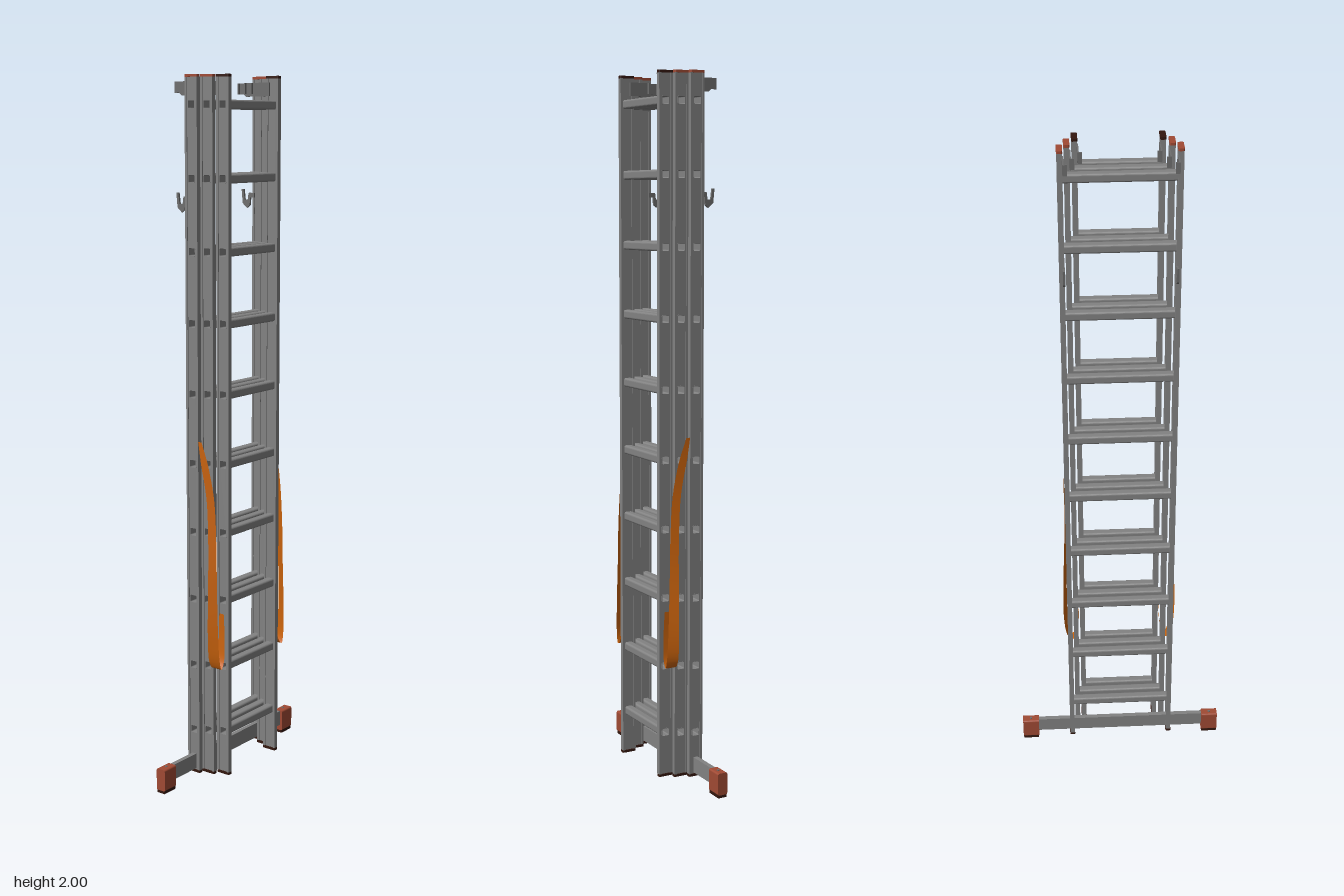
import * as THREE from 'three';

const mat = (name, color, side = THREE.FrontSide) => {
  const m = new THREE.MeshStandardMaterial({ color, side });
  m.name = name;
  return m;
};

// Rounded rectangle outline, usable as a shape or a hole
function roundRect(Type, w, h, r, cx = 0, cy = 0) {
  const p = new Type(), x = w / 2 - r, y = h / 2 - r;
  p.absarc(cx + x, cy + y, r, 0, Math.PI / 2);
  p.absarc(cx - x, cy + y, r, Math.PI / 2, Math.PI);
  p.absarc(cx - x, cy - y, r, Math.PI, Math.PI * 1.5);
  p.absarc(cx + x, cy - y, r, Math.PI * 1.5, Math.PI * 2);
  p.closePath();
  return p;
}

// Extrude a side-on shape (shape x = towards the back, shape y = up) across x, centred
function extrudeX(shape, width) {
  const g = new THREE.ExtrudeGeometry(shape, { depth: width, bevelEnabled: false, curveSegments: 4 });
  g.translate(0, 0, -width / 2);
  g.rotateY(Math.PI / 2);
  return g;
}

const polygon = (pts) => new THREE.Shape(pts.map(([x, y]) => new THREE.Vector2(x, y)));

export function createModel() {
  const model = new THREE.Group();
  model.name = 'tripleLadder';

  const metal = mat('aluminium', 0x828282);
  const steel = mat('hookSteel', 0x6e6e6e);
  const red = mat('redPlastic', 0xa04a34);
  const dark = mat('darkPlastic', 0x33170f);
  const orange = mat('orangeStrap', 0xc8620c, THREE.DoubleSide);

  const add = (parent, name, geo, material, x = 0, y = 0, z = 0) => {
    const m = new THREE.Mesh(geo, material);
    m.name = name;
    m.position.set(x, y, z);
    parent.add(m);
    return m;
  };
  const box = (w, h, d) => new THREE.BoxGeometry(w, h, d);

  const RUNGS = Array.from({ length: 10 }, (_, i) => 0.145 + i * 0.1973);
  const BOTTOM = 0.022, TOP = 1.993, DEPTH = 0.042, WIDTH = 0.014;
  const railH = TOP - BOTTOM, railY = (TOP + BOTTOM) / 2;

  // Rail web pierced by the open rung ends
  const webShape = polygon([[-DEPTH / 2, BOTTOM], [DEPTH / 2, BOTTOM], [DEPTH / 2, TOP], [-DEPTH / 2, TOP]]);
  RUNGS.forEach((y) => webShape.holes.push(roundRect(THREE.Path, 0.022, 0.022, 0.003, 0, y)));
  const webGeo = extrudeX(webShape, 0.009);
  const flangeGeo = box(WIDTH, railH, 0.007);

  // Rounded end cap for a rail
  const capGeo = new THREE.ExtrudeGeometry(roundRect(THREE.Shape, 0.016, 0.044, 0.004),
    { depth: 0.007, bevelEnabled: false, curveSegments: 4 });
  capGeo.rotateX(-Math.PI / 2);

  // Hollow rung
  const rungShape = roundRect(THREE.Shape, 0.025, 0.025, 0.006);
  rungShape.holes.push(roundRect(THREE.Path, 0.021, 0.021, 0.003));

  // Upper guide hook: flat plate with a bent tip
  const guideGeo = extrudeX(polygon([[-0.012, 1.945], [0.022, 1.945], [0.03, 1.952],
    [0.045, 1.952], [0.045, 1.982], [-0.012, 1.982]]), 0.004);

  const sections = [
    { name: 'backSection', x: 0.153, z: -0.016, cap: red },
    { name: 'middleSection', x: 0.134, z: 0.022, cap: red },
    { name: 'frontSection', x: 0.113, z: 0.06, cap: dark },
  ];
  for (const { name, x, z, cap } of sections) {
    const g = new THREE.Group();
    g.name = name;
    g.position.z = z;
    model.add(g);
    for (const s of [-1, 1]) {
      add(g, 'railWeb', webGeo, metal, s * x);
      for (const f of [-1, 1]) add(g, 'railFlange', flangeGeo, metal, s * x, railY, f * (DEPTH / 2 - 0.0035));
      add(g, 'topCap', capGeo, cap, s * x, TOP, 0);
      add(g, 'bottomCap', capGeo, dark, s * x, BOTTOM - 0.007, 0);
      add(g, 'guideHook', guideGeo, steel, s * (x - 0.008), 0, -0.02);
      add(g, 'guideHookTip', box(0.011, 0.03, 0.003), steel, s * (x - 0.0125), 1.967, -0.065);
    }
    const rungGeo = extrudeX(rungShape, 2 * x + 0.01);
    RUNGS.forEach((y) => add(g, 'rung', rungGeo, metal, 0, y, 0));
  }

  // Locking hooks below the top of the back section
  const lockGeo = extrudeX(polygon([[0.03, 1.675], [0.05, 1.675], [0.053, 1.655], [0.064, 1.655],
    [0.068, 1.685], [0.075, 1.685], [0.071, 1.645], [0.056, 1.632], [0.046, 1.64], [0.044, 1.662], [0.03, 1.662]]), 0.006);
  for (const s of [-1, 1]) add(model, 'lockHook', lockGeo, steel, s * 0.148);

  // Stabiliser bar with foot blocks
  const bar = new THREE.Group();
  bar.name = 'stabiliser';
  bar.position.z = -0.016;
  model.add(bar);
  add(bar, 'crossBar', box(0.56, 0.045, 0.014), metal, 0, 0.048, 0);
  const footGeo = extrudeX(roundRect(THREE.Shape, 0.03, 0.064, 0.005), 0.05);
  for (const s of [-1, 1]) {
    add(bar, 'footBlock', footGeo, red, s * 0.285, 0.04, 0);
    add(bar, 'footSole', box(0.048, 0.009, 0.026), dark, s * 0.285, 0.0045, 0);
    add(bar, 'footScrew', new THREE.CylinderGeometry(0.004, 0.004, 0.003, 10), steel, s * 0.285, 0.0725, 0);
  }

  // Hanging straps: ribbon swept down the outside and tucked back in
  // [x, y, z, half width, twist in x]
  const path = [
    [0.161, 1.0, 0.012, 0.006, 0], [0.161, 0.93, 0.03, 0.012, 0.001], [0.159, 0.84, 0.047, 0.012, 0.002],
    [0.161, 0.72, 0.055, 0.012, 0.003], [0.164, 0.58, 0.058, 0.012, 0.005], [0.165, 0.44, 0.06, 0.014, 0.006],
    [0.158, 0.365, 0.06, 0.016, 0.004], [0.147, 0.343, 0.06, 0.016, 0], [0.133, 0.36, 0.06, 0.014, 0],
    [0.125, 0.42, 0.06, 0.011, 0], [0.123, 0.5, 0.058, 0.008, 0],
  ];
  const centre = new THREE.CatmullRomCurve3(path.map(([x, y, z]) => new THREE.Vector3(x, y, z)));
  const spread = new THREE.CatmullRomCurve3(path.map((p) => new THREE.Vector3(p[4], 0, p[3])));
  const STEPS = 50;
  for (const s of [-1, 1]) {
    const g = new THREE.PlaneGeometry(1, 1, 1, STEPS);
    const pos = g.attributes.position;
    for (let i = 0; i <= STEPS; i++) {
      const c = centre.getPoint(i / STEPS), w = spread.getPoint(i / STEPS);
      pos.setXYZ(2 * i, s * (c.x + w.x), c.y, c.z - w.z);
      pos.setXYZ(2 * i + 1, s * (c.x - w.x), c.y, c.z + w.z);
    }
    // Keep the winding consistent on the mirrored side
    if (s < 0) g.setIndex(Array.from(g.index.array).reverse());
    g.computeVertexNormals();
    add(model, 'strap', g, orange);
  }

  return model;
}
